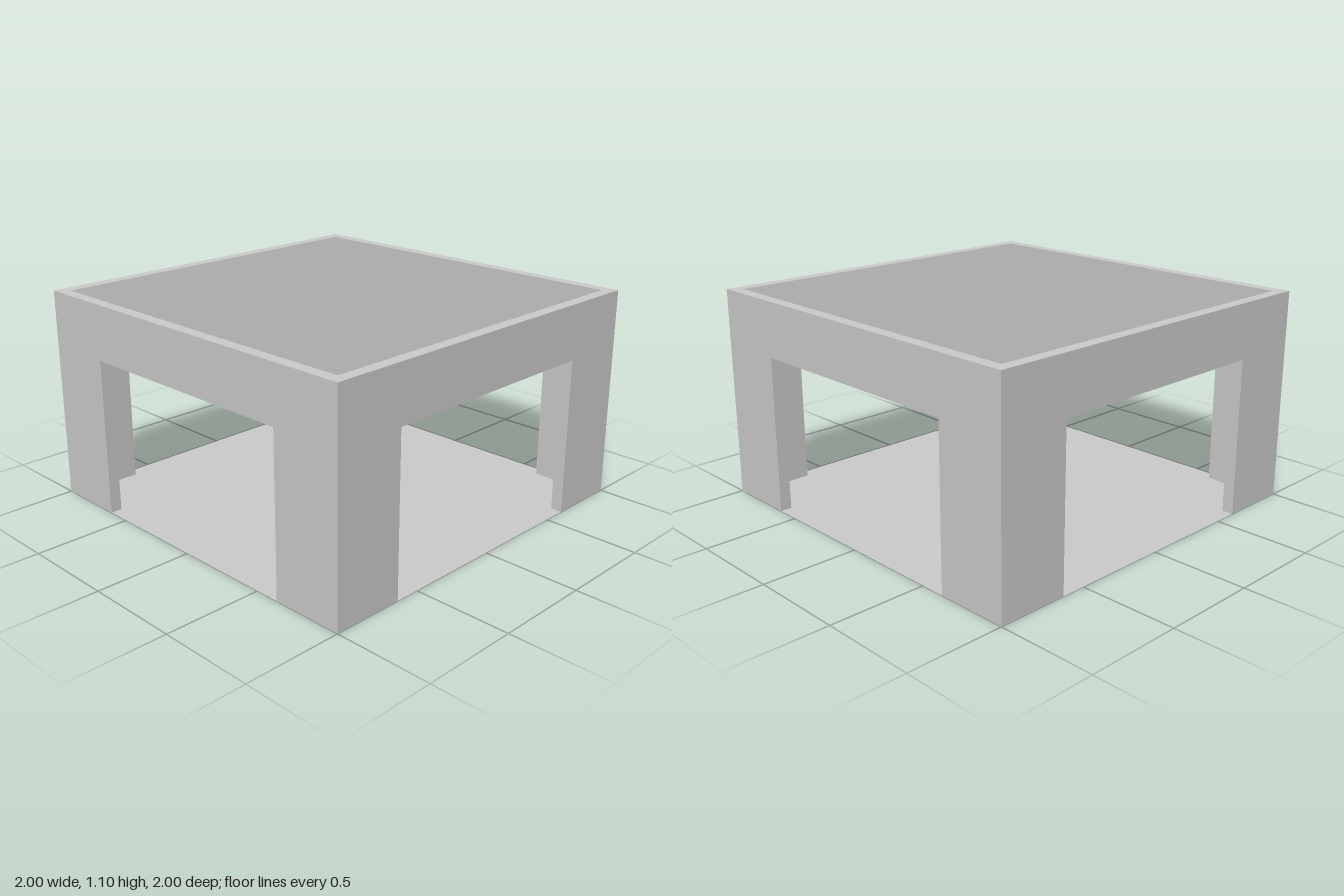
import * as THREE from 'three';

const SIZE = 2, HEIGHT = 1.1, WALL = 0.06;
const OPENING_HALF = 0.627, OPENING_TOP = 0.815;

// Upright wall with a wide central doorway, extruded to the wall thickness
function wallGeometry(length) {
  const h = length / 2, o = OPENING_HALF;
  const shape = new THREE.Shape([
    [-h, 0], [-o, 0], [-o, OPENING_TOP], [o, OPENING_TOP],
    [o, 0], [h, 0], [h, HEIGHT], [-h, HEIGHT],
  ].map(([x, y]) => new THREE.Vector2(x, y)));
  const geometry = new THREE.ExtrudeGeometry(shape, { depth: WALL, bevelEnabled: false });
  return geometry.translate(0, 0, SIZE / 2 - WALL);
}

export function createModel() {
  const group = new THREE.Group();
  const grey = new THREE.MeshStandardMaterial({ color: 0xcccccc });
  const floorGrey = new THREE.MeshStandardMaterial({ color: 0xcccccc, side: THREE.DoubleSide });
  const roofGrey = new THREE.MeshStandardMaterial({ color: 0xadadad, side: THREE.DoubleSide });

  // Four walls; the side pair fits between the front and back pair
  ['frontWall', 'leftWall', 'backWall', 'rightWall'].forEach((name, i) => {
    const length = i % 2 ? SIZE - 2 * WALL : SIZE;
    const wall = new THREE.Mesh(wallGeometry(length), grey);
    wall.rotation.y = i * Math.PI / 2;
    wall.name = name;
    group.add(wall);
  });

  // Thin floor sheet and a darker roof panel set flush inside the wall tops
  const sheet = (name, size, y, material) => {
    const mesh = new THREE.Mesh(new THREE.PlaneGeometry(size, size).rotateX(-Math.PI / 2), material);
    mesh.position.y = y;
    mesh.name = name;
    group.add(mesh);
  };
  sheet('floor', SIZE, 0, floorGrey);
  sheet('roofPanel', SIZE - 2 * WALL, HEIGHT, roofGrey);

  return group;
}
